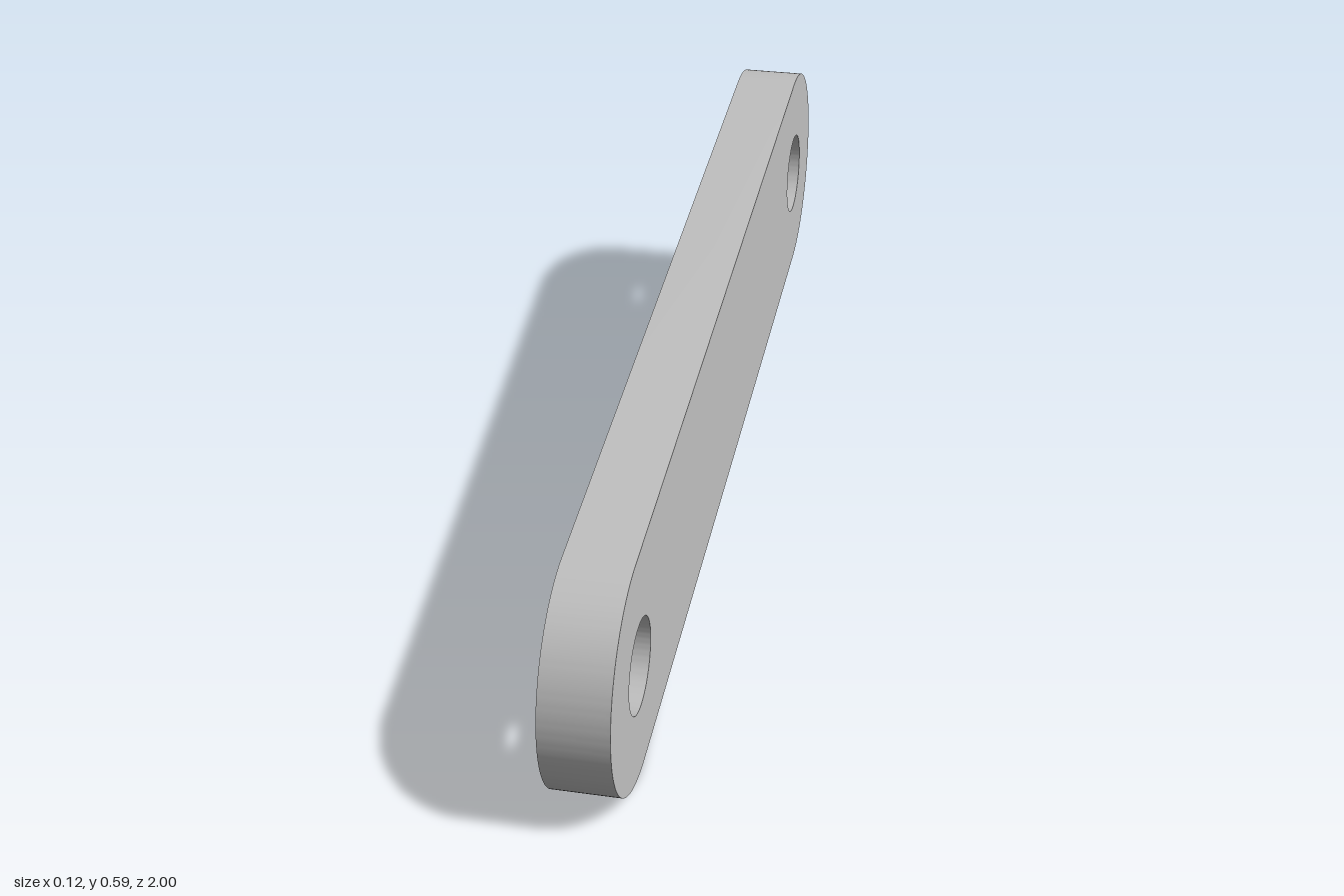
import * as THREE from 'three';
import { toCreasedNormals } from 'three/addons/utils/BufferGeometryUtils.js';

export function createModel() {
  const group = new THREE.Group();
  group.name = 'linkPlate';
  const grey = new THREE.MeshStandardMaterial({ color: 0xc0c0c0 });
  grey.name = 'light grey';

  const radius = 0.215, hole = 0.083, thickness = 0.12;
  const run = 0.785, rise = 0.079; // half offsets between the pin centres
  const half = Math.hypot(run, rise);

  // Stadium outline with a pin hole at each end
  const outline = new THREE.Shape();
  outline.absarc(half, 0, radius, -Math.PI / 2, Math.PI / 2, false);
  outline.absarc(-half, 0, radius, Math.PI / 2, Math.PI * 1.5, false);
  outline.closePath();
  for (const x of [-half, half]) {
    outline.holes.push(new THREE.Path().absarc(x, 0, hole, 0, Math.PI * 2, true));
  }

  // Plate, tilted so the back end sits higher
  const plate = new THREE.ExtrudeGeometry(outline, { depth: thickness, bevelEnabled: false, curveSegments: 48 });
  plate.translate(0, 0, -thickness / 2);
  plate.rotateZ(Math.atan2(rise, run));
  plate.rotateY(Math.PI / 2);
  plate.translate(0, radius + rise, 0);

  const link = new THREE.Mesh(toCreasedNormals(plate, 0.6), grey);
  link.name = 'linkArm';
  group.add(link);
  return group;
}
